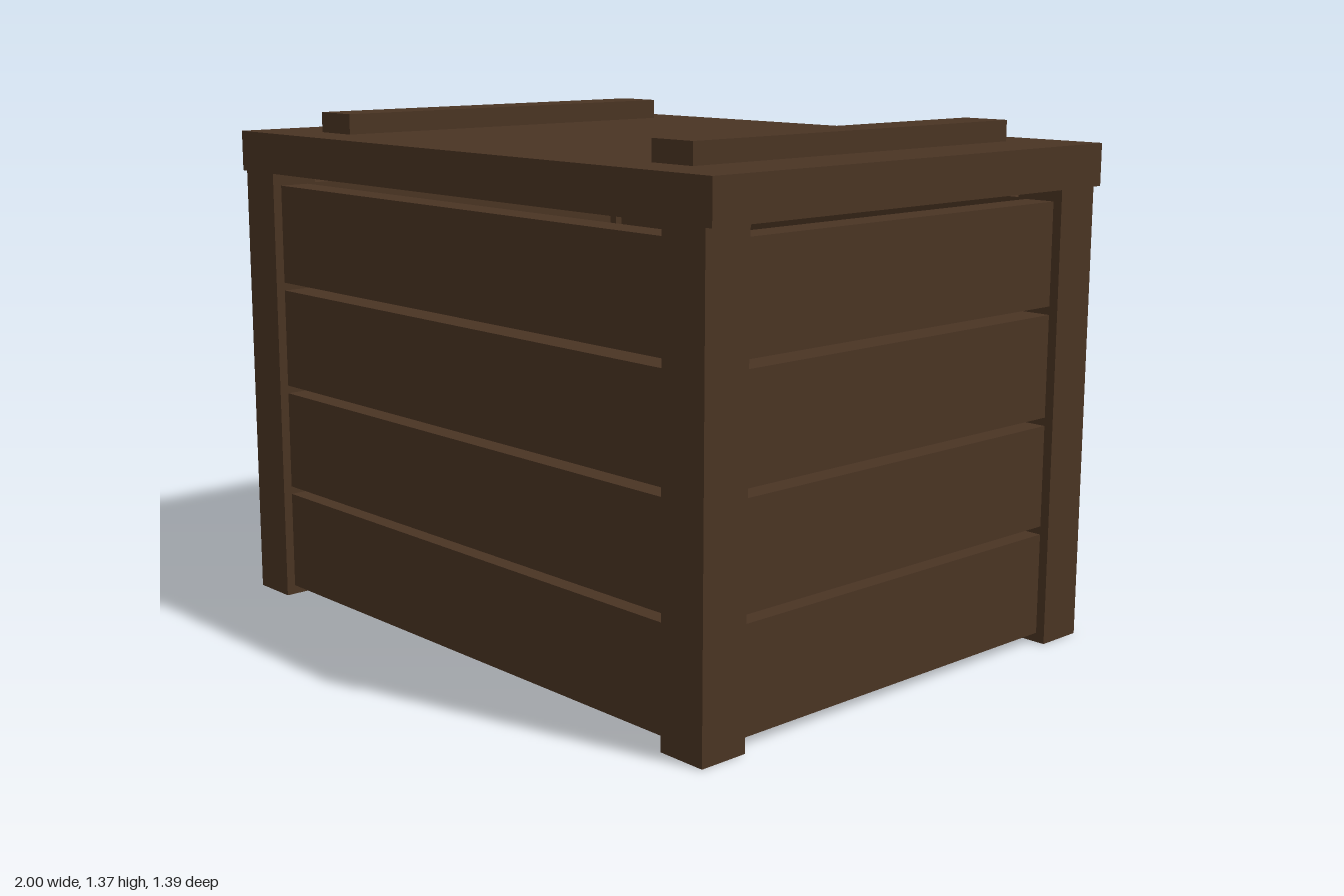
import * as THREE from 'three';

export function createModel() {
  const group = new THREE.Group();
  const wood = new THREE.MeshStandardMaterial({ color: 0x4a3423 });
  wood.name = 'dark wood';

  // Box given by its minimum and maximum along each axis
  function block(name, [x0, x1], [y0, y1], [z0, z1]) {
    const mesh = new THREE.Mesh(new THREE.BoxGeometry(x1 - x0, y1 - y0, z1 - z0), wood);
    mesh.position.set((x0 + x1) / 2, (y0 + y1) / 2, (z0 + z1) / 2);
    mesh.name = name;
    group.add(mesh);
  }

  const left = 0.975, right = -0.865, depth = 0.695, post = 0.135;
  const lidBottom = 1.205, lidTop = 1.315;
  const inset = 0.025, thick = 0.085;
  const postX = [[right, right + post], [left - post, left]];
  const postZ = [[-depth, -depth + post], [depth - post, depth]];

  // Corner posts
  for (const x of postX) for (const z of postZ) block('cornerPost', x, [0, lidBottom], z);

  // Four boards with open gaps on every side
  const spanX = [right + post, left - post];
  const spanZ = [-depth + post, depth - post];
  for (let i = 0; i < 4; i++) {
    const y = [0.025 + i * 0.292, 0.295 + i * 0.292];
    block('frontBoard', spanX, y, [depth - inset - thick, depth - inset]);
    block('backBoard', spanX, y, [-depth + inset, -depth + inset + thick]);
    block('leftBoard', [left - inset - thick, left - inset], y, spanZ);
    block('rightBoard', [right + inset, right + inset + thick], y, spanZ);
  }

  // Floor raised a little inside the lowest boards
  block('floor', [right + 0.1, left - 0.1], [0.07, 0.11], [-depth + 0.1, depth - 0.1]);

  // Lid and its two cleats
  block('lid', [-0.885, 0.995], [lidBottom, lidTop], [-depth, depth]);
  for (const x of [[-0.685, -0.55], [0.66, 0.795]]) block('lidCleat', x, [lidTop, 1.37], [-0.56, 0.56]);

  // Bent handle: a bar along z whose middle is pulled out and down
  const bar = new THREE.CylinderGeometry(0.024, 0.024, 0.47, 8, 2);
  bar.rotateX(Math.PI / 2);
  const p = bar.attributes.position;
  for (let i = 0; i < p.count; i++) {
    const t = Math.abs(p.getZ(i)) / 0.235;
    p.setX(i, p.getX(i) - 0.976 + 0.09 * t);
    p.setY(i, p.getY(i) + 0.787 + 0.108 * t);
  }
  bar.computeVertexNormals();
  const handle = new THREE.Mesh(bar, wood);
  handle.name = 'sideHandle';
  group.add(handle);

  return group;
}
